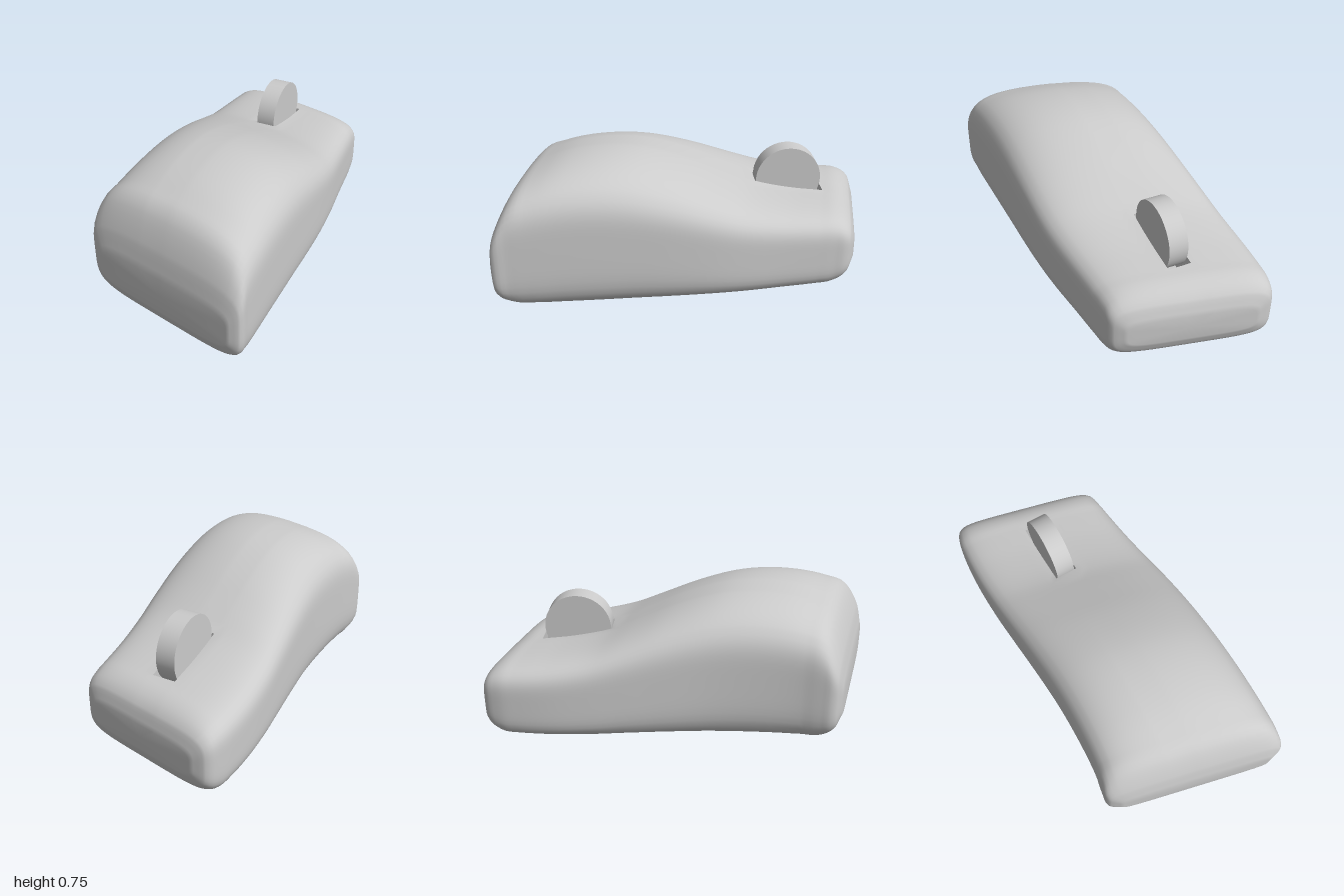
import * as THREE from 'three';

const SKEW = 0.23; // both ends slant: z grows with x
const SLOT = { x0: -0.105, x1: 0.015, u0: -0.73, u1: -0.36, floor: 0.3 };
const WHEEL_X = (SLOT.x0 + SLOT.x1) / 2;

// Key sections: [u along body, right x, left x, bottom y, top y, crown drop at the sides]
const KEYS = [
  [-0.925, -0.33, 0.28, 0.14, 0.28, 0],
  [-0.895, -0.41, 0.345, 0.07, 0.36, 0],
  [-0.82, -0.447, 0.362, 0.015, 0.415, 0.01],
  [SLOT.u0, -0.46, 0.373, 0.006, 0.43, 0.015],
  [-0.55, -0.466, 0.395, 0.003, 0.455, 0.02],
  [SLOT.u1, -0.458, 0.422, 0.002, 0.5, 0.03],
  [-0.2, -0.445, 0.44, 0.002, 0.57, 0.05],
  [0, -0.427, 0.452, 0, 0.66, 0.075],
  [0.2, -0.412, 0.458, 0, 0.725, 0.09],
  [0.37, -0.407, 0.462, 0, 0.745, 0.09],
  [0.55, -0.41, 0.465, 0.002, 0.732, 0.08],
  [0.7, -0.42, 0.467, 0.006, 0.69, 0.06],
  [0.8, -0.437, 0.467, 0.018, 0.635, 0.04],
  [0.875, -0.437, 0.463, 0.075, 0.49, 0.02],
  [0.908, -0.37, 0.4, 0.15, 0.35, 0],
];
const STEPS = 4;

// Smooth section k + t, with tangents that respect the uneven spacing
function section(k, t) {
  const slope = (i, c) => {
    const a = KEYS[Math.max(i - 1, 0)], b = KEYS[Math.min(i + 1, KEYS.length - 1)];
    return (b[c] - a[c]) / (b[0] - a[0]);
  };
  const A = KEYS[k], B = KEYS[k + 1];
  if (!B) return A;
  const h = B[0] - A[0], t2 = t * t, t3 = t2 * t;
  return A.map((v, c) => c === 0 ? v + h * t :
    (2 * t3 - 3 * t2 + 1) * v + (t3 - 2 * t2 + t) * h * slope(k, c) +
    (3 * t2 - 2 * t3) * B[c] + (t3 - t2) * h * slope(k + 1, c));
}

// n even values from a to b, without b
const span = (a, b, n) => Array.from({ length: n }, (_, i) => a + (b - a) * i / n);

const SIDE = 16, TOP = 12;
const SLOT_LEFT = SIDE + TOP; // ring index of the slot's +x edge; the -x edge is next

// One rounded-square ring, counter-clockwise seen from the front
function ring([u, xa, xb, y0, y1, drop]) {
  const mid = (xa + xb) / 2, half = (xb - xa) / 2;
  const s0 = (SLOT.x0 - mid) / half, s1 = (SLOT.x1 - mid) / half;
  const square = [
    ...span(-1, 1, SIDE).map(v => [1, v]),
    ...span(1, s1, TOP).map(s => [s, 1]), [s1, 1],
    ...span(s0, -1, TOP).map(s => [s, 1]),
    ...span(1, -1, SIDE).map(v => [-1, v]),
    ...span(-1, 1, 2 * TOP).map(s => [s, -1]),
  ];
  const inSlot = u >= SLOT.u0 - 1e-6 && u <= SLOT.u1 + 1e-6;
  return square.map(([a, b], j) => {
    const f = Math.pow(Math.abs(a) ** 5 + Math.abs(b) ** 5, -0.2);
    const sx = a * f, sy = b * f;
    const x = mid + half * sx;
    const y = (y0 + y1) / 2 + (y1 - y0) / 2 * sy - drop * sx * sx * Math.max(sy, 0);
    const onSlot = inSlot && (j === SLOT_LEFT || j === SLOT_LEFT + 1);
    return [x, y, u + SKEW * (onSlot ? WHEEL_X : x)]; // keep the slot square
  });
}

function geometry(points, index) {
  const g = new THREE.BufferGeometry();
  g.setAttribute('position', new THREE.Float32BufferAttribute(points.flat(), 3));
  if (index) g.setIndex(index);
  g.computeVertexNormals();
  return g;
}

export function createModel() {
  const group = new THREE.Group();
  const material = new THREE.MeshStandardMaterial({ color: 0xcccccc, roughness: 0.7 });
  const add = (name, geo, mat = material) => {
    const mesh = new THREE.Mesh(geo, mat);
    mesh.name = name;
    group.add(mesh);
    return mesh;
  };

  // Body: lofted rings, leaving the wheel slot open
  const rings = [];
  for (let k = 0; k < KEYS.length - 1; k++)
    for (let i = 0; i < STEPS; i++) rings.push(ring(section(k, i / STEPS)));
  rings.push(ring(KEYS[KEYS.length - 1]));
  const n = rings[0].length, last = rings.length - 1;
  const first = KEYS.findIndex(r => r[0] === SLOT.u0) * STEPS;
  const end = KEYS.findIndex(r => r[0] === SLOT.u1) * STEPS;
  const points = rings.flat(), index = [];
  for (let i = 0; i < last; i++) {
    for (let j = 0; j < n; j++) {
      if (j === SLOT_LEFT && i >= first && i < end) continue;
      const a = i * n + j, b = i * n + (j + 1) % n;
      index.push(a, b, b + n, a, b + n, a + n);
    }
  }
  // End caps
  for (const r of [0, last]) {
    const c = points.length;
    points.push([0, 1, 2].map(k => rings[r].reduce((sum, p) => sum + p[k], 0) / n));
    for (let j = 0; j < n; j++) {
      const a = r * n + j, b = r * n + (j + 1) % n;
      index.push(...(r ? [a, b, c] : [b, a, c]));
    }
  }
  add('body', geometry(points, index));

  // Slot walls and floor
  const rows = rings.slice(first, end + 1);
  const rim = [...rows.map(r => r[SLOT_LEFT]), ...rows.map(r => r[SLOT_LEFT + 1]).reverse()];
  const walls = [];
  const down = p => [p[0], SLOT.floor, p[2]];
  rim.forEach((p, i) => {
    const q = rim[(i + 1) % rim.length];
    walls.push(p, down(p), down(q), p, down(q), q);
  });
  const h = rows.length;
  const [a, b, c, d] = [rim[0], rim[h - 1], rim[h], rim[2 * h - 1]].map(down);
  walls.push(a, c, b, a, d, c);
  const inner = material.clone();
  inner.side = THREE.DoubleSide;
  add('wheelSlot', geometry(walls), inner);

  // Scroll wheel
  const wheel = add('scrollWheel', new THREE.CylinderGeometry(0.174, 0.174, 0.1, 48));
  wheel.rotation.z = Math.PI / 2;
  wheel.position.set(WHEEL_X, 0.5, -0.55);

  return group;
}
